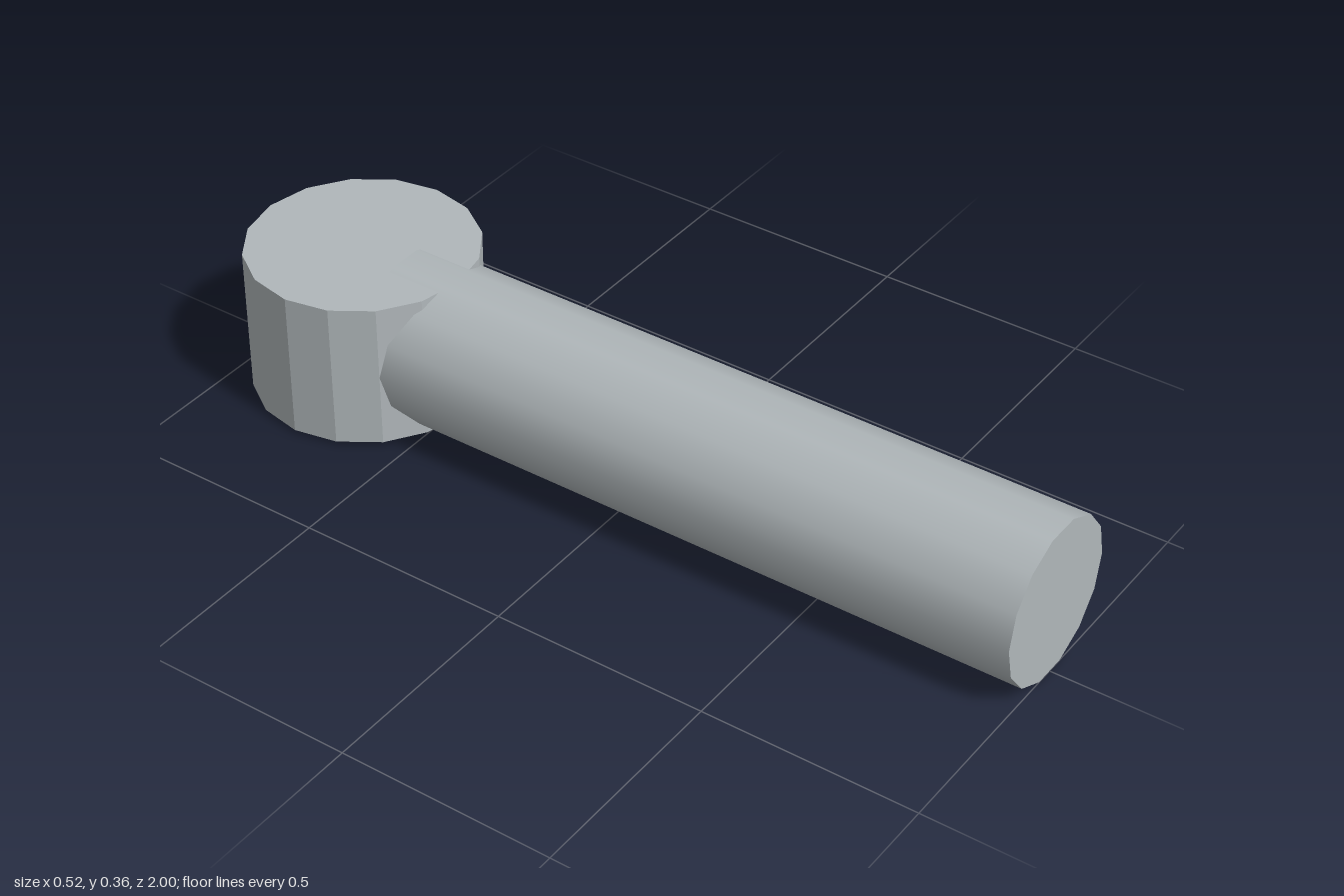
import * as THREE from 'three';

export function createModel() {
  const group = new THREE.Group();
  const tone = { color: 0xb0b7ba };
  const metal = new THREE.MeshStandardMaterial(tone);
  metal.name = 'paleGreyMetal';

  // Long smooth 14-sided shaft lying along z, corners on the x axis
  const shaftGeometry = new THREE.CylinderGeometry(0.185, 0.185, 1.62, 14);
  shaftGeometry.rotateY(Math.PI / 2).rotateX(Math.PI / 2);
  const shaft = new THREE.Mesh(shaftGeometry, metal);
  shaft.name = 'shaft';
  shaft.position.set(0, 0.1815, 0.19);

  // Upright faceted 16-sided head; unshared vertices give flat normals
  const headGeometry = new THREE.CylinderGeometry(0.262, 0.262, 0.347, 16).toNonIndexed();
  headGeometry.computeVertexNormals();
  const head = new THREE.Mesh(headGeometry, metal);
  head.name = 'head';
  head.position.set(0, 0.1825, -0.738);

  group.add(shaft, head);
  return group;
}
